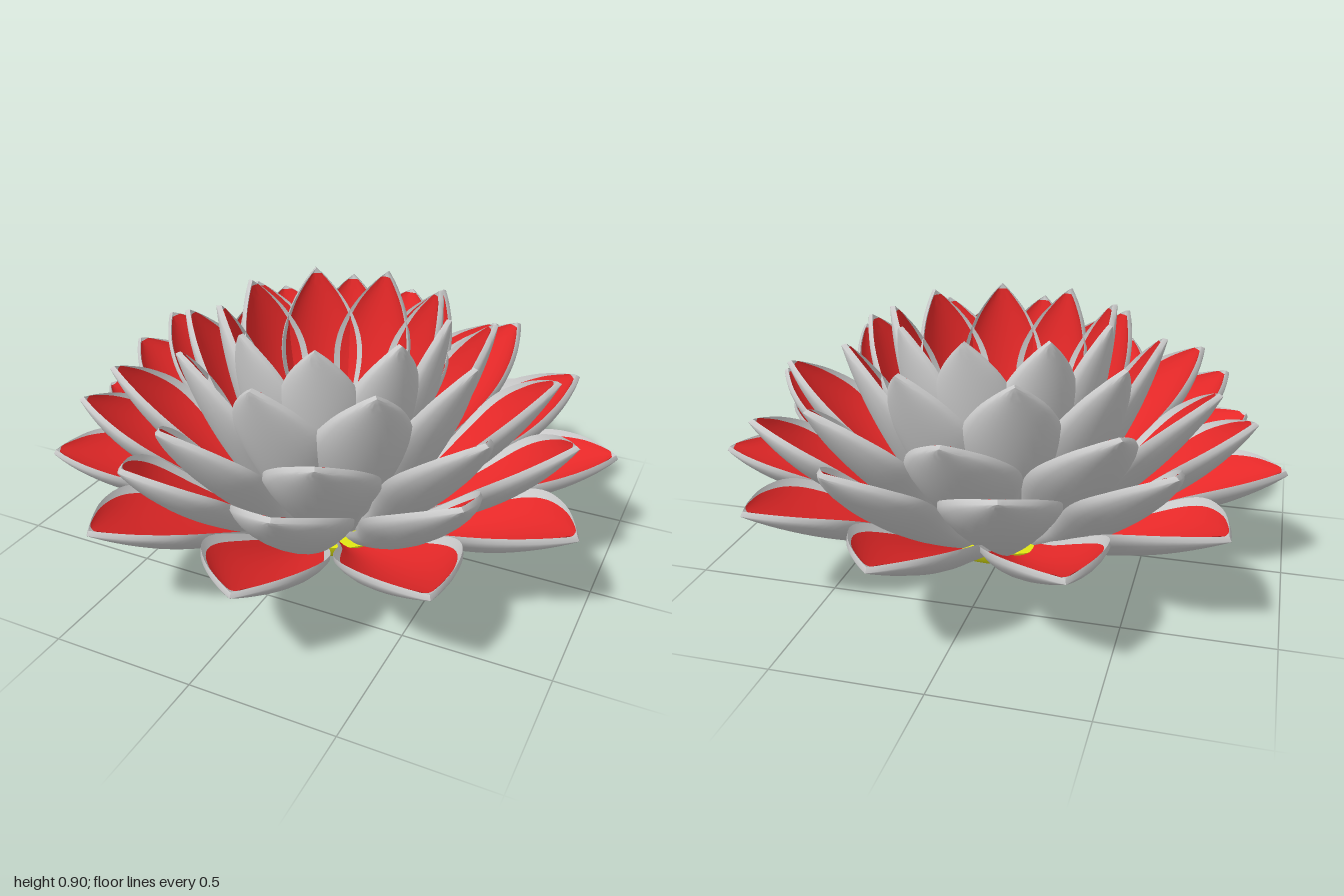
import * as THREE from 'three';
import { toCreasedNormals } from 'three/addons/utils/BufferGeometryUtils.js';

const GREY = new THREE.MeshStandardMaterial({ color: 0xcccccc, side: THREE.DoubleSide });
const RED = new THREE.MeshStandardMaterial({ color: 0xe62828, side: THREE.DoubleSide });
const YELLOW = new THREE.MeshStandardMaterial({ color: 0xdde312 });

const V2 = (x, y) => new THREE.Vector2(x, y);

// Petal outline: position along the petal against relative half width
const OUTLINE = new THREE.SplineCurve([
  V2(0, 0.34), V2(0.2, 0.5), V2(0.38, 0.76), V2(0.56, 0.97), V2(0.7, 0.94),
  V2(0.84, 0.66), V2(0.94, 0.3), V2(1, 0),
]);
const ARC = 1.1; // half angle of the cupped cross-section
const THICK = 0.018;

// Rings of petals from the outermost to the innermost:
// count, first angle in degrees, half width, and root / control / tip as (radius, height)
const RINGS = [
  { name: 'outerPetal', count: 11, start: 180, width: 0.2, path: [V2(0.25, 0.05), V2(0.74, 0.22), V2(1.01, 0.38)] },
  { name: 'lowerPetal', count: 10, start: -4.4, width: 0.195, path: [V2(0.24, 0.06), V2(0.73, 0.3), V2(0.9, 0.58)] },
  { name: 'middlePetal', count: 9, start: 11, width: 0.19, path: [V2(0.22, 0.07), V2(0.62, 0.37), V2(0.785, 0.69)] },
  { name: 'upperPetal', count: 9, start: -92, width: 0.175, path: [V2(0.2, 0.08), V2(0.47, 0.42), V2(0.57, 0.81)] },
  { name: 'innerPetal', count: 9, start: 6, width: 0.155, path: [V2(0.18, 0.09), V2(0.38, 0.5), V2(0.41, 0.895)] },
];

// Point on a petal that reaches out along +x: s runs root to tip, u across, lift along the normal.
// The cup opens out toward the tip.
function petalPoint(ring, curve, s, u, lift) {
  const o = OUTLINE.getPoint(s);
  const half = Math.max(0, o.y) * ring.width;
  const p = curve.getPoint(o.x);
  const t = curve.getTangent(o.x);
  const a = u * ARC;
  const cup = 1.15 - 0.5 * o.x;
  const depth = cup * half * (1 - Math.cos(a)) / Math.sin(ARC) + lift;
  return [p.x - t.y * depth, p.y + t.x * depth, half * Math.sin(a) / Math.sin(ARC)];
}

// Surface through rows of points
function gridSurface(rows) {
  const cols = rows[0].length;
  const index = [];
  for (let i = 0; i < rows.length - 1; i++) {
    for (let j = 0; j < cols - 1; j++) {
      const a = i * cols + j, b = a + cols;
      index.push(a, a + 1, b, a + 1, b + 1, b);
    }
  }
  const geo = new THREE.BufferGeometry();
  geo.setAttribute('position', new THREE.Float32BufferAttribute(rows.flat(2), 3));
  geo.setIndex(index);
  return toCreasedNormals(geo, 0.8);
}

const steps = (n, from, to) => Array.from({ length: n + 1 }, (_, i) => from + (to - from) * i / n);

function petalGeometries(ring) {
  const curve = new THREE.QuadraticBezierCurve(...ring.path);
  const across = steps(12, -1, 1);
  // Thick shell: inner face, rim, outer face and back to the start
  const shell = gridSurface(steps(24, 0, 1).map((s) => [
    ...across.map((u) => petalPoint(ring, curve, s, u, THICK)),
    ...across.map((u) => petalPoint(ring, curve, s, -u, 0)),
    petalPoint(ring, curve, s, -1, THICK),
  ]));
  // Coloured lining, set in from the rim
  const lining = gridSurface(steps(24, 0, 0.93).map((s) =>
    across.map((u) => petalPoint(ring, curve, s, u * 0.84, THICK + 0.004))));
  return { shell, lining };
}

export function createModel() {
  const model = new THREE.Group();
  model.name = 'lotusFlower';

  // The odd petal count is balanced by a small offset of the flower's axis
  const flower = new THREE.Group();
  flower.name = 'flower';
  flower.position.x = 0.02;
  model.add(flower);

  // Shallow stepped dish that holds the petals
  const dish = new THREE.LatheGeometry([
    V2(0, 0), V2(0.12, 0.004), V2(0.2, 0.016), V2(0.21, 0.022), V2(0.26, 0.035),
    V2(0.295, 0.065), V2(0.305, 0.1), V2(0.28, 0.11), V2(0, 0.11),
  ], 40);
  const base = new THREE.Mesh(toCreasedNormals(dish, 0.6), YELLOW);
  base.name = 'flowerBase';
  flower.add(base);

  // Petal rings
  for (const ring of RINGS) {
    const { shell, lining } = petalGeometries(ring);
    for (let k = 0; k < ring.count; k++) {
      const petal = new THREE.Group();
      petal.name = ring.name;
      const body = new THREE.Mesh(shell, GREY);
      body.name = 'petalShell';
      const inside = new THREE.Mesh(lining, RED);
      inside.name = 'petalLining';
      petal.add(body, inside);
      petal.rotation.y = THREE.MathUtils.degToRad(ring.start + 360 * k / ring.count);
      flower.add(petal);
    }
  }
  return model;
}
